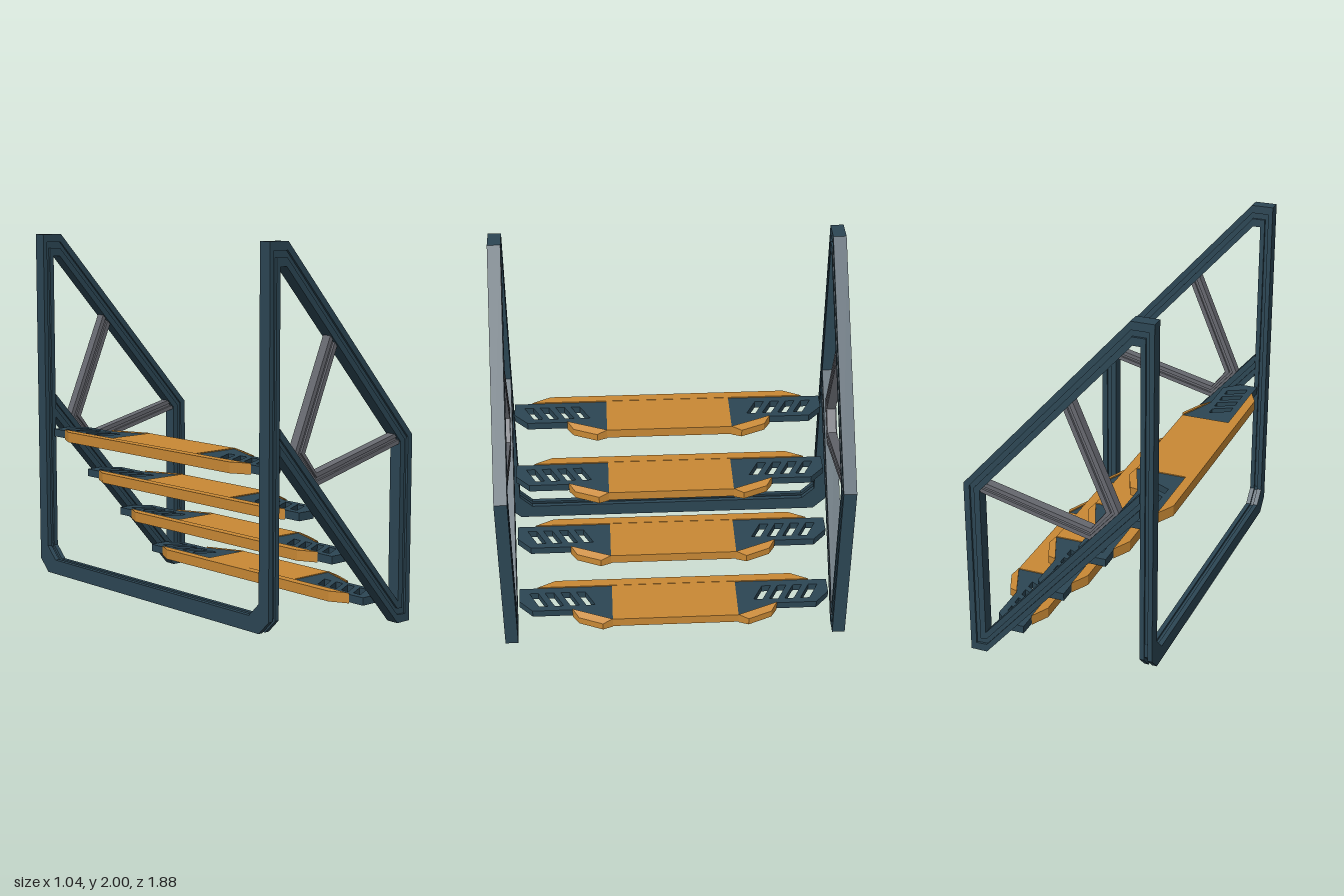
import * as THREE from 'three';

const steel = new THREE.MeshStandardMaterial({ color: 0x2c4654 });
steel.name = 'slate steel';
const grey = new THREE.MeshStandardMaterial({ color: 0x66686f });
grey.name = 'brace grey';
const amber = new THREE.MeshStandardMaterial({ color: 0xc98935 });
amber.name = 'amber tread';

const shapeOf = (pts) => new THREE.Shape(pts.map(([x, y]) => new THREE.Vector2(x, y)));

function extrude(shape, from, to) {
  const g = new THREE.ExtrudeGeometry(shape, { depth: to - from, bevelEnabled: false });
  return g.translate(0, 0, from);
}

function add(parent, name, geometry, material) {
  const mesh = new THREE.Mesh(geometry, material);
  mesh.name = name;
  parent.add(mesh);
  return mesh;
}

// Band between an outer and an inner path, limited to the fractions t0..t1 of its width
function band(pairs, t0, t1) {
  const at = (t) => pairs.map(([a, b, c, d]) => [a + (c - a) * t, b + (d - b) * t]);
  return shapeOf([...at(t0), ...at(t1).reverse()]);
}

// Beam with a shallow groove along both broad faces
function groovedBeam(parent, name, pairs, half, material) {
  const group = new THREE.Group();
  group.name = name;
  add(group, 'outerRib', extrude(band(pairs, 0, 0.36), -half, half), material);
  add(group, 'web', extrude(band(pairs, 0.36, 0.64), -half + 0.012, half - 0.012), material);
  add(group, 'innerRib', extrude(band(pairs, 0.64, 1), -half, half), material);
  parent.add(group);
  return group;
}

// Flat plate drawn in x/z, lying between two heights
function plate(shape, low, high) {
  return extrude(shape, -high, -low).rotateX(Math.PI / 2);
}

// Each entry: outer x, y, inner x, y
const framePath = [
  [-0.45, 0.98, -0.45, 1.11], [0.41, 0, 0.405, 0.125], [0.5, 0, 0.412, 0.117],
  [0.5, 0.99, 0.412, 0.96], [-0.4, 2, -0.41, 1.88], [-0.52, 2, -0.452, 1.88],
  [-0.52, 0.26, -0.452, 0.26],
];
const bracePath = [
  [0.42, 0.95, 0.41, 1.01], [-0.18, 0.8, -0.19, 0.865],
  [-0.34, 0.975, -0.27, 0.97], [-0.1, 1.54, -0.05, 1.49],
];

function buildSideFrame(side) {
  const group = new THREE.Group();
  group.name = side > 0 ? 'frontSideFrame' : 'backSideFrame';
  groovedBeam(group, 'frameLoop', framePath, 0.035, steel);
  groovedBeam(group, 'brace', bracePath, 0.025, grey);
  group.position.z = side * 0.905;
  return group;
}

// Lower part of the tall posts and the bar that joins them
function buildCrossbar(parent) {
  const half = [
    [0.94, 0.26, 0.87, 0.26], [0.94, 0.17, 0.87, 0.25], [0.87, 0.1, 0.8, 0.18],
  ];
  const path = [...half, ...half.map(([a, b, c, d]) => [-a, b, -c, d]).reverse()];
  const group = new THREE.Group();
  group.name = 'crossbar';
  const layers = [[-0.52, -0.495, 0, 1], [-0.495, -0.476, 0.15, 0.85], [-0.476, -0.452, 0, 1]];
  layers.forEach(([x0, x1, t0, t1], i) => {
    const g = extrude(band(path, t0, t1), x0, x1).rotateY(Math.PI / 2);
    add(group, i === 1 ? 'crossbarWeb' : 'crossbarRib', g, steel);
  });
  parent.add(group);
}

// Slotted end grip
function gripShape(s) {
  const flip = (pts) => pts.map(([x, z]) => [x, s * z]);
  const shape = shapeOf(flip([
    [0.23, 0.345], [0.5, 0.345], [0.41, 0.565], [0.41, 0.785], [0.33, 0.86], [0.23, 0.86],
  ]));
  for (let k = 0; k < 4; k++) {
    const z = 0.805 - 0.087 * k;
    shape.holes.push(shapeOf(flip([
      [0.27, z], [0.375, z - 0.055], [0.375, z - 0.105], [0.27, z - 0.05],
    ])));
  }
  return shape;
}

// Nose piece at the step's leading corner, its top sloping outwards
function noseGeometry(s) {
  const pts = [[0.41, 0.565], [0.465, 0.53], [0.52, 0.4], [0.5, 0.345]];
  const g = plate(shapeOf(pts.map(([x, z]) => [x, s * z])), -0.03, 0.028);
  const p = g.attributes.position;
  for (let i = 0; i < p.count; i++) {
    const x = p.getX(i);
    const outer = Math.abs(x - 0.465) < 0.001 || Math.abs(x - 0.52) < 0.001;
    if (outer && p.getY(i) > 0) p.setY(i, 0.012);
  }
  g.computeVertexNormals();
  return g;
}

function buildStep() {
  const step = new THREE.Group();
  step.name = 'step';
  const panel = shapeOf([[0.228, -0.345], [0.5, -0.345], [0.5, 0.345], [0.228, 0.345]]);
  add(step, 'treadPanel', plate(panel, -0.026, 0.026), amber);
  const rail = shapeOf([[0.18, -0.66], [0.23, -0.76], [0.23, 0.76], [0.18, 0.66]]);
  add(step, 'rearRail', plate(rail, -0.028, 0.028), amber);
  for (const s of [1, -1]) {
    add(step, 'endGrip', plate(gripShape(s), -0.021, 0.021), steel);
    add(step, 'nose', noseGeometry(s), amber);
  }
  return step;
}

export function createModel() {
  const model = new THREE.Group();
  model.name = 'stairUnit';
  model.add(buildSideFrame(1), buildSideFrame(-1));
  buildCrossbar(model);
  // Four steps climbing towards the tall posts
  for (let i = 0; i < 4; i++) {
    const step = buildStep();
    step.position.set(-0.234 * i, 0.13 + 0.255 * i, 0);
    model.add(step);
  }
  return model;
}
